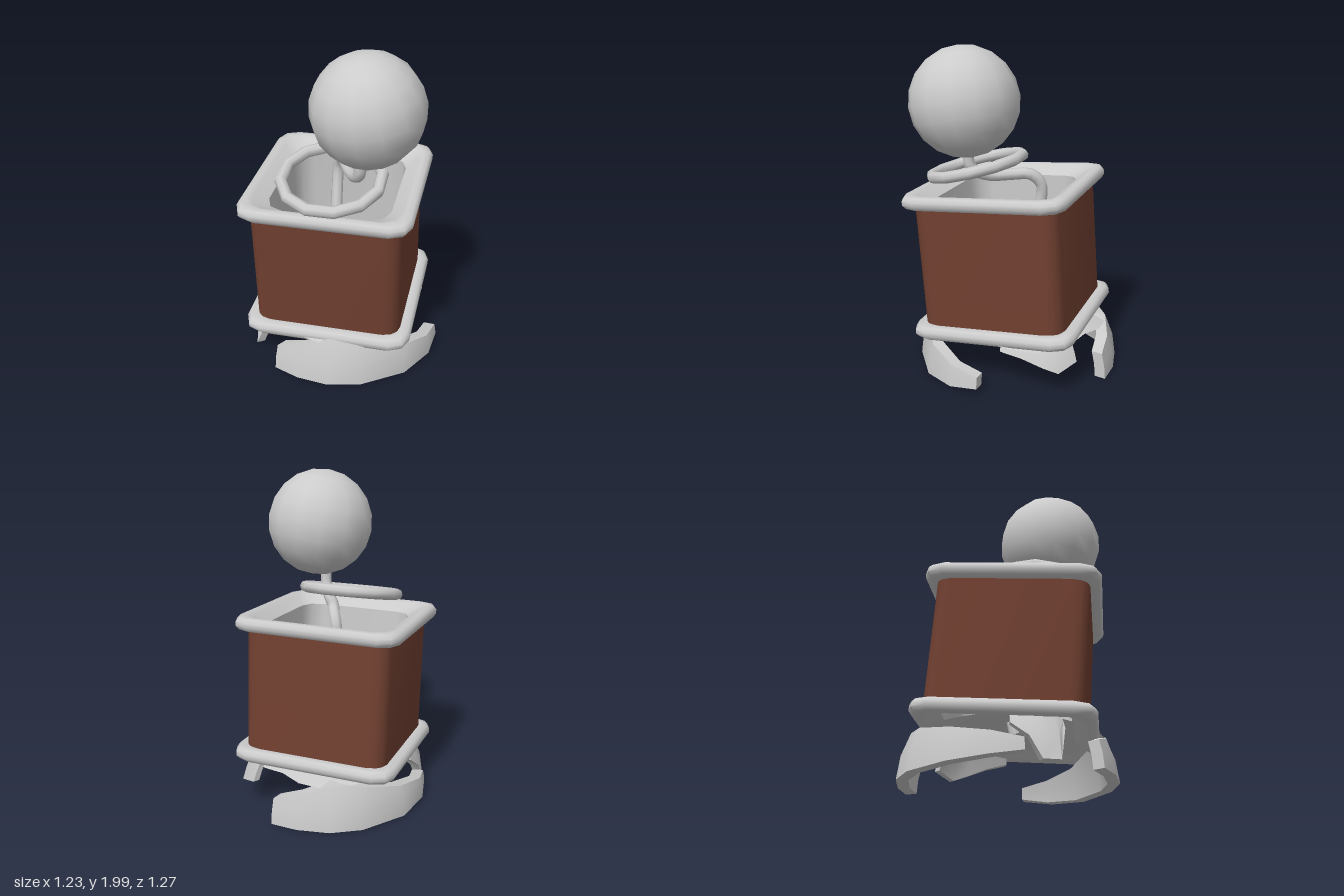
import * as THREE from 'three';
import { toCreasedNormals } from 'three/addons/utils/BufferGeometryUtils.js';

const grey = new THREE.MeshStandardMaterial({ color: 0xcccccc, side: THREE.DoubleSide });
const brown = new THREE.MeshStandardMaterial({ color: 0x714031, side: THREE.DoubleSide });

// Join closed cross-section loops (equal point counts) into one creased surface.
function loft(loops, { caps = false, crease = 0.6 } = {}) {
  const n = loops[0].length, idx = [];
  for (let i = 0; i < loops.length - 1; i++) {
    for (let j = 0; j < n; j++) {
      const a = i * n + j, b = i * n + (j + 1) % n;
      idx.push(a, a + n, b, b, a + n, b + n);
    }
  }
  if (caps) {
    const e = (loops.length - 1) * n;
    for (let j = 1; j < n - 1; j++) idx.push(0, j, j + 1, e, e + j + 1, e + j);
  }
  const g = new THREE.BufferGeometry();
  g.setAttribute('position', new THREE.Float32BufferAttribute(loops.flat(2), 3));
  g.setIndex(idx);
  return toCreasedNormals(g, crease);
}

// Square loop with rounded corners at height y, ordered so upward lofts face out.
function squareLoop(half, y, r = 0.11, segs = 2) {
  const pts = [];
  for (let c = 0; c < 4; c++) {
    const mid = Math.PI / 4 + c * Math.PI / 2;
    for (let s = 0; s <= segs; s++) {
      const a = (c + s / segs) * Math.PI / 2;
      pts.push([
        Math.sign(Math.cos(mid)) * (half - r) + r * Math.cos(a), y,
        Math.sign(Math.sin(mid)) * (half - r) + r * Math.sin(a)]);
    }
  }
  return pts;
}

function add(parent, name, geometry, material = grey) {
  const mesh = new THREE.Mesh(geometry, material);
  mesh.name = name;
  parent.add(mesh);
  return mesh;
}

// Curved band of the foot shell from stations [degrees, top y, bottom y, radius offset].
function shard(stations, turn = 0, thick = 0.07) {
  return loft(stations.map(([deg, top, bot, out = 0]) => {
    const a = (deg + turn) * Math.PI / 180, mid = (top + bot) / 2;
    const at = (y, inset) => {
      const r = 0.622 + out - 0.9 * y * y - inset;
      return [r * Math.cos(a), y, r * Math.sin(a)];
    };
    return [...[bot, mid, top].map(y => at(y, 0)), ...[top, mid, bot].map(y => at(y, thick))];
  }), { caps: true, crease: 0.7 });
}

export function createModel() {
  const model = new THREE.Group();

  // Leaning open box
  const box = new THREE.Group();
  box.name = 'box';
  box.position.set(-0.028, 0.31, 0.02);
  box.rotation.x = 0.073;
  model.add(box);
  const H = 0.817;
  add(box, 'boxWalls', loft([0, H].map(y => squareLoop(0.447, y, 0.09, 3))), brown);

  // Rounded rims with a lip sloping in to the inner walls
  const rim = [[0.44, -0.036], [0.465, -0.043], [0.497, -0.036], [0.512, -0.012], [0.512, 0.015],
    [0.497, 0.037], [0.465, 0.043], [0.44, 0.03], [0.365, -0.02]];
  add(box, 'topRim', loft(rim.map(([h, y]) => squareLoop(h, H + y)), { crease: 0.95 }));
  const low = rim.map(([h, y]) => squareLoop(h, -y)).reverse();
  add(box, 'bottomRim', loft(low, { crease: 0.95 }));
  add(box, 'innerWalls', loft([H - 0.02, 0.02].map(y => squareLoop(0.365, y)), { crease: 0.9 }));

  // Foot: ragged shallow dome
  const foot = new THREE.Group();
  foot.name = 'foot';
  model.add(foot);
  const edge = [0.47, 0.46, 0.47, 0.49, 0.53, 0.56, 0.57, 0.55, 0.5, 0.46, 0.53, 0.52,
    0.48, 0.47, 0.5, 0.53, 0.55, 0.56, 0.54, 0.5, 0.52, 0.54, 0.53, 0.5];
  const rings = [1, 0.7, 0.35, 0.001].map(t => edge.map((e, i) => {
    const a = i * Math.PI / 12, r = e * t;
    return [r * Math.cos(a), 0.36 - 0.32 * r * r, r * Math.sin(a)];
  }));
  add(foot, 'footDome', loft(rings));

  // Two sickle-shaped shards and smaller tongues reaching down
  const sickle = [[3, 0.12, 0.05, -0.014], [20, 0.155, 0.025], [42, 0.2, 0.01], [70, 0.26, 0.01, 0.005],
    [88, 0.28, 0.01, 0.012], [106, 0.22, 0.01, 0.012], [121, 0.17, 0.01, 0.02]];
  [0, 162].forEach(turn => add(foot, 'footShard', shard(sickle, turn)));
  add(foot, 'longTongue', shard([[141, 0.3, 0.2, -0.02], [147, 0.3, 0.01], [156, 0.3, 0.01, -0.02],
    [162, 0.3, 0.14, -0.04], [172, 0.3, 0.22, -0.06]], 0, 0.05));
  add(foot, 'shortTongue', shard([[303, 0.3, 0.19], [316, 0.3, 0.15], [324, 0.3, 0.18, -0.03],
    [337, 0.3, 0.225, -0.07], [352, 0.3, 0.25, -0.09]], 0, 0.04));

  // Bent wire, loop and ball
  const path = new THREE.CatmullRomCurve3([
    [-0.08, 0.3, 0.05], [-0.08, 0.75, -0.04], [-0.08, 1.13, -0.13], [-0.04, 1.21, -0.07],
    [0, 1.21, 0.03], [0.07, 1.21, 0.16], [0.13, 1.26, 0.25], [0.14, 1.42, 0.27]
  ].map(p => new THREE.Vector3(...p)));
  add(model, 'wire', new THREE.TubeGeometry(path, 36, 0.036, 8));

  const loop = add(model, 'wireLoop', new THREE.TorusGeometry(0.295, 0.036, 8, 12));
  loop.position.set(-0.025, 1.24, 0.28);
  loop.rotation.set(Math.PI / 2 + 0.25, 0, Math.PI / 12);

  const ball = add(model, 'ball', new THREE.SphereGeometry(0.331, 14, 10));
  ball.position.set(0.18, 1.67, 0.265);
  ball.rotation.set(0.15, 0.2, 0.12);
  return model;
}
